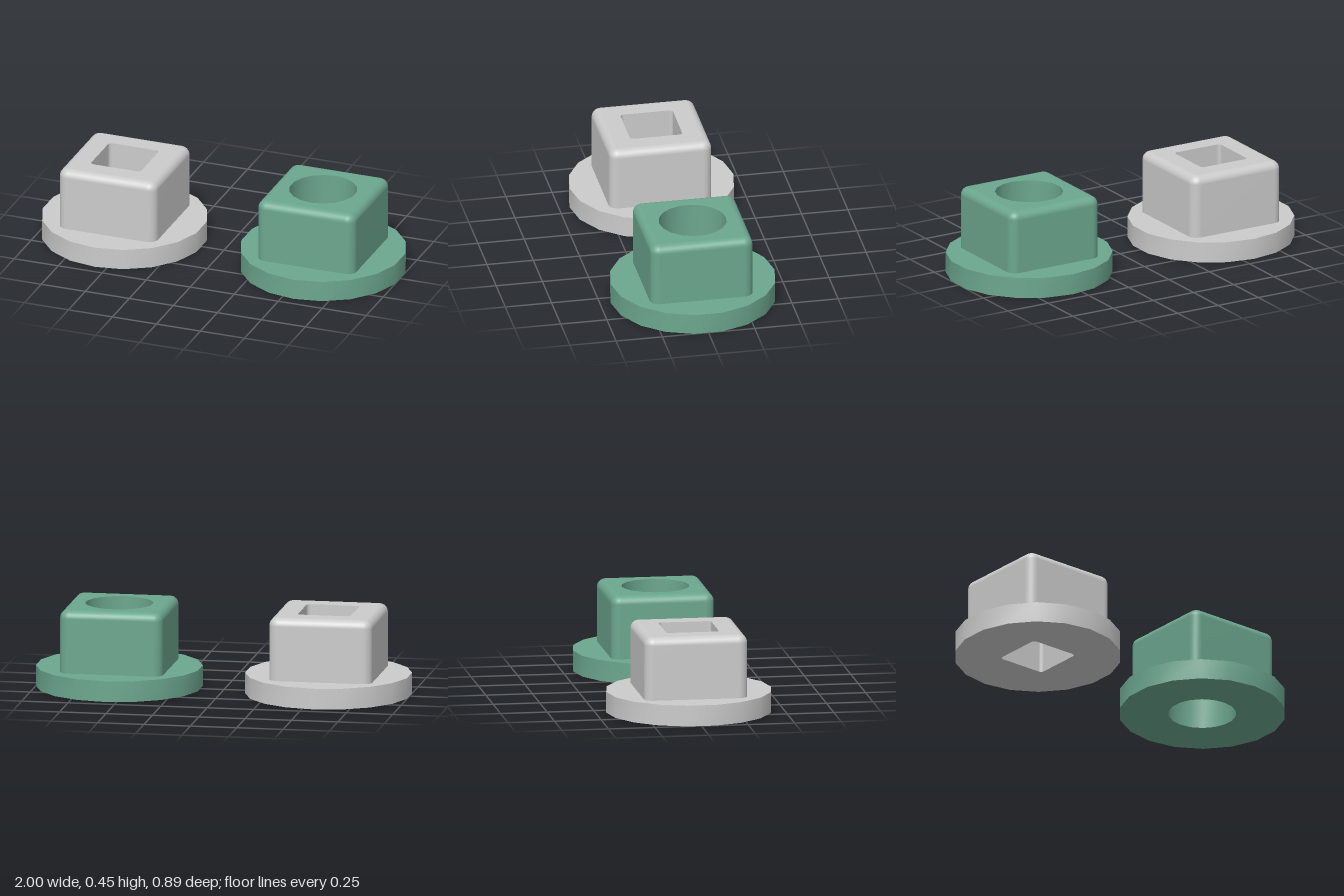
import * as THREE from 'three';

const SIDES = 18;
const FLANGE_R = 0.443, FLANGE_H = 0.112;
const BLOCK_HALF = 0.277, BLOCK_R = 0.05, BLOCK_TOP = 0.449, FILLET = 0.043;

// Outlines, counter-clockwise seen from above
function polygon(radius) {
  return Array.from({ length: SIDES }, (_, i) => {
    const a = Math.PI / 2 + (i / SIDES) * Math.PI * 2;
    return new THREE.Vector2(radius * Math.cos(a), radius * Math.sin(a));
  });
}

function roundedSquare(half, r, steps = 8) {
  const pts = [];
  for (let c = 0; c < 4; c++) {
    const mid = Math.PI / 4 + c * Math.PI / 2;
    const cx = Math.sign(Math.cos(mid)) * (half - r);
    const cy = Math.sign(Math.sin(mid)) * (half - r);
    for (let i = 0; i <= steps; i++) {
      const a = (c + i / steps) * Math.PI / 2;
      pts.push(new THREE.Vector2(cx + r * Math.cos(a), cy + r * Math.sin(a)));
    }
  }
  return pts;
}

// Smooth wall through rings: rising rings face outward, falling rings face inward
function wall(rings) {
  const n = rings[0].pts.length, pos = [], index = [];
  for (const { pts, y } of rings) for (const p of pts) pos.push(p.x, y, -p.y);
  for (let k = 0; k < rings.length - 1; k++) {
    for (let i = 0; i < n; i++) {
      const j = (i + 1) % n, a = k * n, b = a + n;
      index.push(a + i, a + j, b + j, a + i, b + j, b + i);
    }
  }
  const g = new THREE.BufferGeometry();
  g.setAttribute('position', new THREE.Float32BufferAttribute(pos, 3));
  g.setIndex(index);
  g.computeVertexNormals();
  return g;
}

// Flat horizontal face with a hole
function cap(outline, hole, y, up = true) {
  const shape = new THREE.Shape(outline);
  shape.holes.push(new THREE.Path(hole));
  return new THREE.ShapeGeometry(shape).rotateX(up ? -Math.PI / 2 : Math.PI / 2).translate(0, y, 0);
}

function bushing(name, x, color, bore) {
  const group = new THREE.Group();
  group.name = name;
  group.position.x = x;
  const material = new THREE.MeshStandardMaterial({ color });
  const add = (part, geometry) => {
    const mesh = new THREE.Mesh(geometry, material);
    mesh.name = part;
    group.add(mesh);
  };
  const rim = polygon(FLANGE_R);
  const base = roundedSquare(BLOCK_HALF, BLOCK_R);

  // Round flange
  add('flangeRim', wall([{ pts: rim, y: 0 }, { pts: rim, y: FLANGE_H }]));
  add('flangeTop', cap(rim, base, FLANGE_H));
  add('flangeBottom', cap(rim, bore, 0, false));

  // Square block with a rounded top edge
  const rings = [{ pts: base, y: FLANGE_H }];
  const steps = 8;
  for (let i = 0; i <= steps; i++) {
    const a = (i / steps) * Math.PI / 2;
    const inset = FILLET * (1 - Math.cos(a));
    rings.push({
      pts: roundedSquare(BLOCK_HALF - inset, BLOCK_R - inset),
      y: BLOCK_TOP - FILLET + FILLET * Math.sin(a),
    });
  }
  add('blockSides', wall(rings));
  add('blockTop', cap(rings[rings.length - 1].pts, bore, BLOCK_TOP));

  // Through hole
  add('boreWall', wall([{ pts: bore, y: BLOCK_TOP }, { pts: bore, y: 0 }]));
  return group;
}

export function createModel() {
  const model = new THREE.Group();
  model.name = 'bushingPair';
  model.add(
    bushing('squareHoleBushing', -0.564, 0xcccccc, roundedSquare(0.142, 0.02, 5)),
    bushing('roundHoleBushing', 0.564, 0x6ca78f, polygon(0.181)),
  );
  return model;
}
